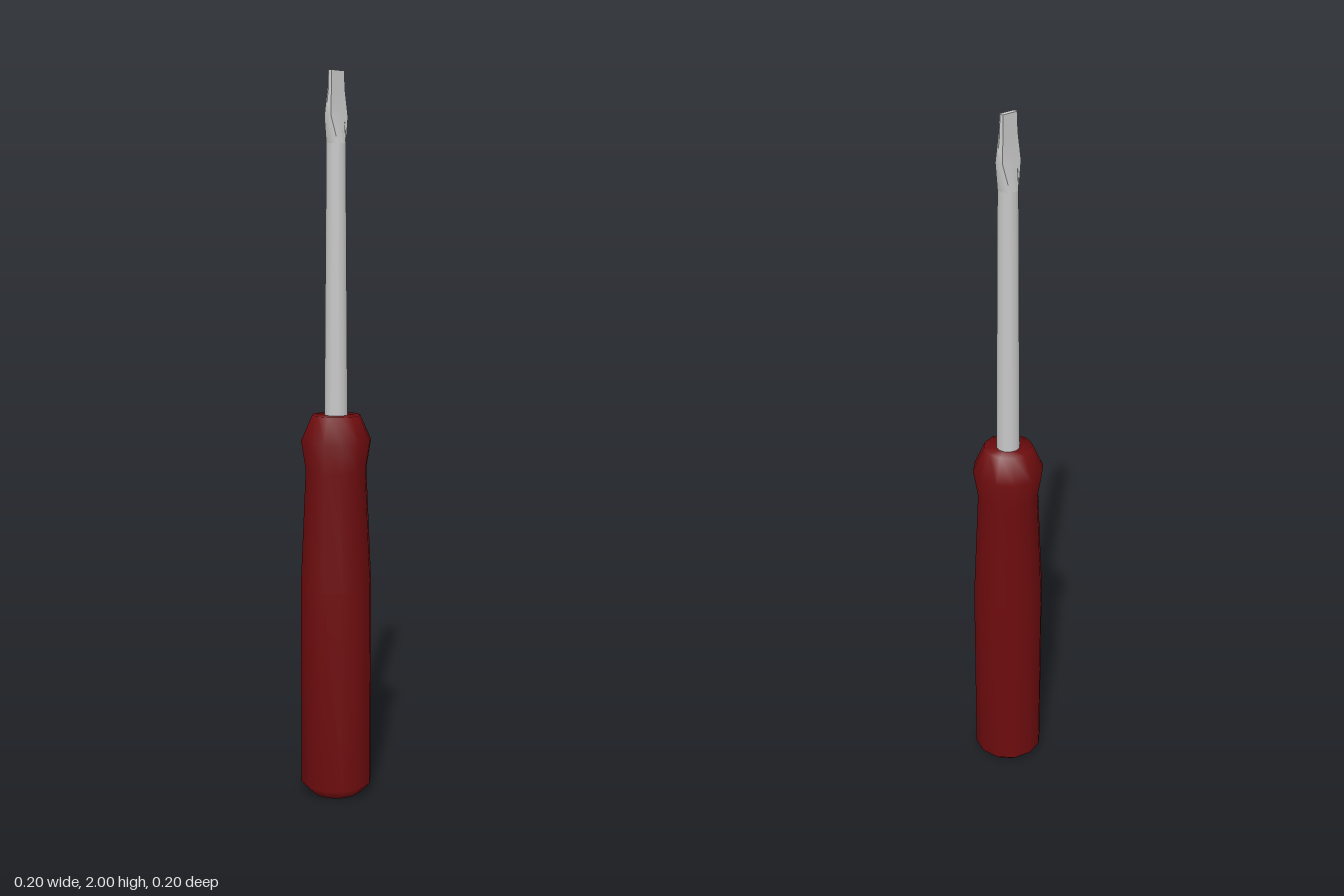
import * as THREE from 'three';
import { mergeVertices, toCreasedNormals } from 'three/addons/utils/BufferGeometryUtils.js';

const SIDES = 12;

// Twelve-sided lathe from [radius, height] pairs, listed bottom to top
function turned(profile) {
  return new THREE.LatheGeometry(profile.map(([r, y]) => new THREE.Vector2(r, y)), SIDES);
}

export function createModel() {
  const model = new THREE.Group();
  model.name = 'screwdriver';

  const red = new THREE.MeshStandardMaterial({ color: 0x6e0c0e });
  red.name = 'dark red grip';
  const steel = new THREE.MeshStandardMaterial({ color: 0xc8c8c8 });
  steel.name = 'steel';

  // Handle: bevelled butt, tapered grip, narrow neck and flared collar
  const handleGeometry = mergeVertices(turned([
    [0, 0], [0.07, 0], [0.1, 0.03], [0.1, 0.6],
    [0.085, 0.93], [0.098, 1.01], [0.067, 1.08], [0, 1.08],
  ]).deleteAttribute('uv').deleteAttribute('normal'));
  handleGeometry.computeVertexNormals();
  const handle = new THREE.Mesh(handleGeometry, red);
  handle.name = 'handle';
  model.add(handle);

  // Shaft: slightly tapered rod
  const shaft = new THREE.Mesh(turned([[0.033, 1.06], [0.027, 1.81]]), steel);
  shaft.name = 'shaft';
  model.add(shaft);

  // Blade: flares along z while its two faces are ground flat towards the tip
  const rings = [[0.027, 1.81, 0.027], [0.034, 1.88, 0.014], [0.032, 1.91, 0.011],
    [0.027, 1.95, 0.009], [0.026, 2, 0.007], [0, 2, 0.007]];
  const bladeGeometry = turned(rings);
  const pos = bladeGeometry.attributes.position;
  for (let i = 0; i < pos.count; i++) {
    const half = rings[i % rings.length][2];
    pos.setX(i, THREE.MathUtils.clamp(pos.getX(i), -half, half));
  }
  const blade = new THREE.Mesh(toCreasedNormals(bladeGeometry, 0.7), steel);
  blade.name = 'flatBlade';
  model.add(blade);

  return model;
}
